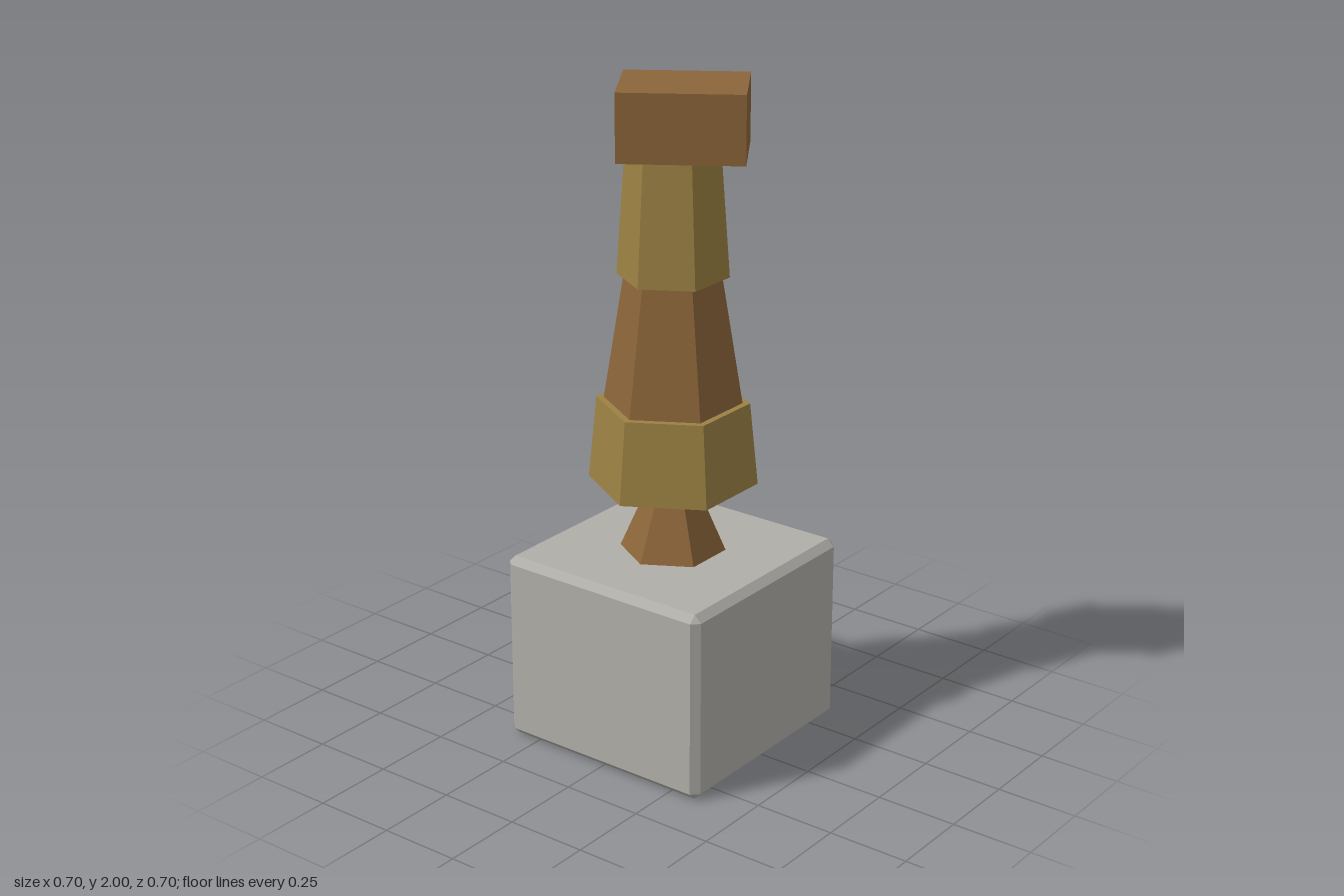
import * as THREE from 'three';
import { ConvexGeometry } from 'three/addons/geometries/ConvexGeometry.js';

const material = (color) => new THREE.MeshStandardMaterial({ color, flatShading: true });

// Box with every edge and corner cut flat
function chamferedBox(w, h, d, c) {
  const points = [];
  for (const x of [-1, 1]) for (const y of [-1, 1]) for (const z of [-1, 1]) {
    for (let axis = 0; axis < 3; axis++) {
      const inset = [c, c, c];
      inset[axis] = 0;
      points.push(new THREE.Vector3(
        x * (w / 2 - inset[0]), y * (h / 2 - inset[1]), z * (d / 2 - inset[2])));
    }
  }
  return new ConvexGeometry(points);
}

export function createModel() {
  const model = new THREE.Group();
  model.name = 'hammerPost';
  const stone = material(0xb0aea8);
  const wood = material(0x8b6539);
  const brass = material(0x9b8143);

  const add = (name, geometry, mat, x, y) => {
    const mesh = new THREE.Mesh(geometry, mat);
    mesh.name = name;
    mesh.position.set(x, y, 0);
    model.add(mesh);
    return mesh;
  };

  // Stone block
  add('base', chamferedBox(0.705, 0.586, 0.705, 0.022), stone, 0, 0.293);

  // Stack of tapered hexagonal sections: name, material, y range, radii
  const sections = [
    ['neck', wood, 0.586, 0.803, 0.157, 0.064],
    ['lowerCollar', brass, 0.803, 1.053, 0.25, 0.225],
    ['shaft', wood, 1.053, 1.433, 0.203, 0.142],
    ['upperCollar', brass, 1.433, 1.8, 0.163, 0.137],
  ];
  for (const [name, mat, y0, y1, r0, r1] of sections) {
    add(name, new THREE.CylinderGeometry(r1, r0, y1 - y0, 6), mat, 0, (y0 + y1) / 2);
  }

  // Turned, slightly offset block on top
  add('head', new THREE.BoxGeometry(0.36, 0.2, 0.268), wood, 0.038, 1.9).rotation.y = 0.583;

  return model;
}
